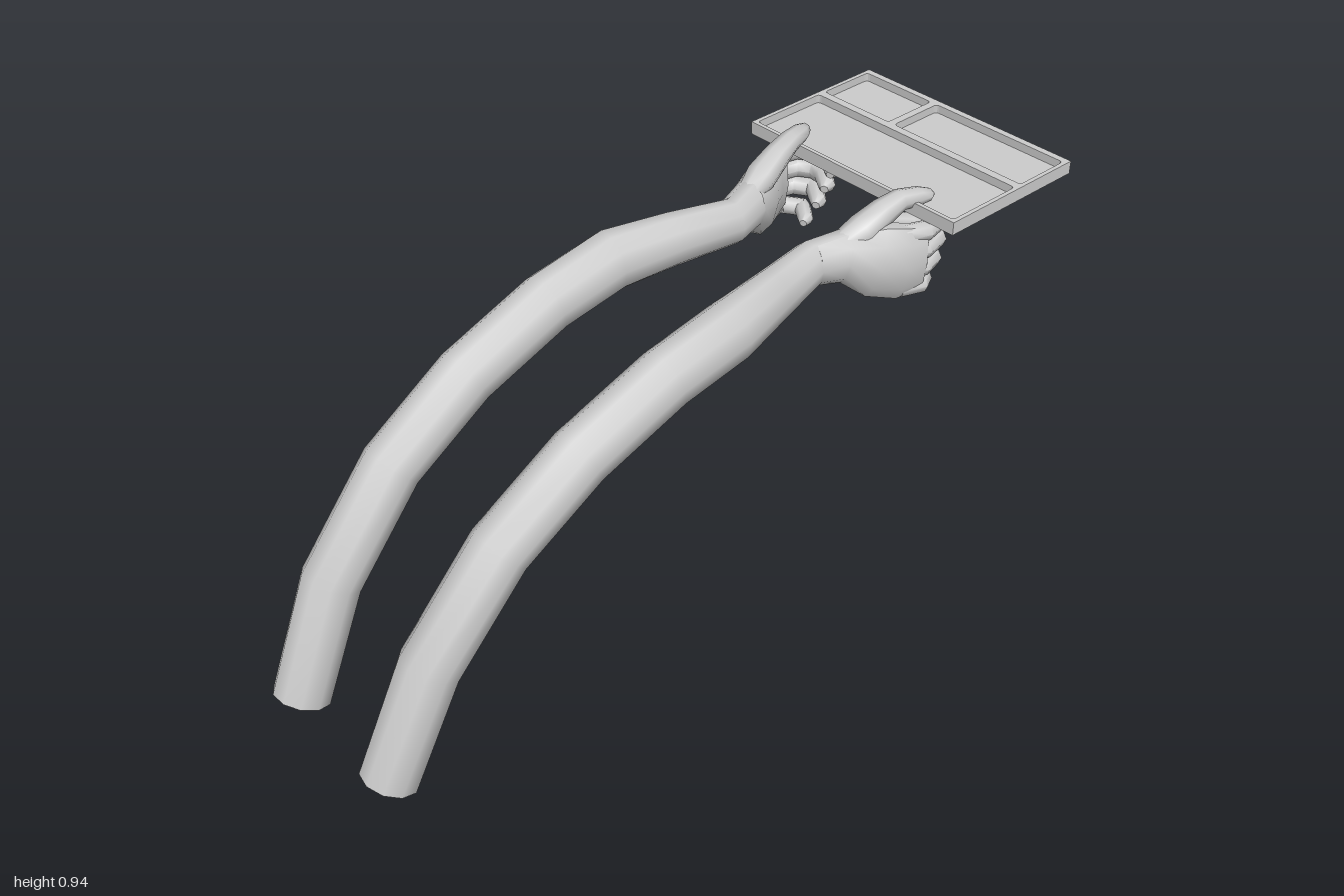
import * as THREE from 'three';
import { toCreasedNormals } from 'three/addons/utils/BufferGeometryUtils.js';

const material = new THREE.MeshStandardMaterial({ color: 0xcccccc, side: THREE.DoubleSide });

function addMesh(parent, geometry, name) {
  const mesh = new THREE.Mesh(geometry, material);
  mesh.name = name;
  parent.add(mesh);
  return mesh;
}

// Closed loft through elliptical rings: [x, y, z, half width, half height]
function loft(rings, sides) {
  const centres = rings.map(([x, y, z]) => new THREE.Vector3(x, y, z));
  const positions = [];
  const index = [];
  const last = rings.length - 1;
  rings.forEach(([, , , w, h], i) => {
    const before = centres[Math.max(i - 1, 0)];
    const after = centres[Math.min(i + 1, last)];
    const dir = after.clone().sub(before).normalize();
    const side = new THREE.Vector3(0, 1, 0).cross(dir).normalize();
    const up = dir.clone().cross(side);
    for (let j = 0; j < sides; j++) {
      const a = (j / sides) * Math.PI * 2;
      const p = centres[i].clone()
        .addScaledVector(side, Math.cos(a) * w)
        .addScaledVector(up, Math.sin(a) * h);
      positions.push(p.x, p.y, p.z);
    }
  });
  const start = rings.length * sides;
  positions.push(...centres[0].toArray(), ...centres[last].toArray());
  for (let j = 0; j < sides; j++) {
    const k = (j + 1) % sides;
    for (let i = 0; i < last; i++) {
      const a = i * sides;
      const b = a + sides;
      index.push(a + j, a + k, b + k, a + j, b + k, b + j);
    }
    index.push(start, k, j, start + 1, last * sides + j, last * sides + k);
  }
  const geometry = new THREE.BufferGeometry();
  geometry.setAttribute('position', new THREE.Float32BufferAttribute(positions, 3));
  geometry.setIndex(index);
  return toCreasedNormals(geometry, 0.9);
}

// Forearm to wrist: [y, z, half width, half height], x listed per arm
const armRings = [
  [0.03, 0.935, 0.068, 0.069],
  [0.31, 0.82, 0.069, 0.073],
  [0.535, 0.635, 0.069, 0.073],
  [0.675, 0.42, 0.068, 0.075],
  [0.765, 0.185, 0.067, 0.076],
  [0.802, 0, 0.067, 0.077],
  [0.806, -0.16, 0.055, 0.068],
  [0.807, -0.32, 0.047, 0.058],
  [0.81, -0.4, 0.045, 0.064],
];

function buildArm(side, armX, thumbLift) {
  const group = new THREE.Group();
  const mirrored = (rings) => rings.map(([x, ...rest]) => [x * side, ...rest]);

  addMesh(group, loft(mirrored(armRings.map((r, i) => [armX[i], ...r])), 10), 'forearm');

  // Upright palm, flaring out from the wrist
  addMesh(group, loft(mirrored([
    [0.132, 0.808, -0.33, 0.045, 0.056],
    [0.155, 0.808, -0.4, 0.047, 0.066],
    [0.19, 0.785, -0.47, 0.052, 0.095],
    [0.222, 0.77, -0.53, 0.044, 0.098],
    [0.235, 0.768, -0.58, 0.032, 0.09],
  ]), 10), 'palm');

  // Four stacked fingers curling inward beneath the tray
  const fingers = [
    [0.84, 0, 0.025],
    [0.793, 0, 0.026],
    [0.745, 0.01, 0.025],
    [0.697, 0.035, 0.023],
  ];
  fingers.forEach(([y, short, r], i) => {
    const inward = i * 0.016;
    addMesh(group, loft(mirrored([
      [0.222, y, -0.53, r, r],
      [0.242, y, -0.585, r, r],
      [0.23, y, -0.638 + short, r, r],
      [0.19, y, -0.664 + short, r, r],
      [0.135 + inward, y, -0.657 + short, r * 0.95, r * 0.95],
      [0.1 + inward, y - 0.002, -0.63 + short, r * 0.85, r * 0.85],
      [0.09 + inward, y - 0.004, -0.612 + short, r * 0.4, r * 0.4],
    ]), 8), 'finger' + (i + 1));
  });

  // Thumb resting on top of the tray
  addMesh(group, loft(mirrored([
    [0.15, 0.835, -0.39, 0.03, 0.03],
    [0.165, 0.862, -0.45, 0.04, 0.038],
    [0.172, 0.892 + thumbLift / 2, -0.51, 0.034, 0.033],
    [0.178, 0.91 + thumbLift, -0.56, 0.028, 0.026],
    [0.193, 0.908 + thumbLift, -0.61, 0.024, 0.022],
    [0.203, 0.906 + thumbLift, -0.635, 0.016, 0.015],
    [0.205, 0.905 + thumbLift, -0.643, 0.007, 0.007],
  ]), 8), 'thumb');
  return group;
}

function roundedRect(path, x0, y0, x1, y1, r) {
  path.moveTo(x0 + r, y0);
  path.lineTo(x1 - r, y0);
  path.quadraticCurveTo(x1, y0, x1, y0 + r);
  path.lineTo(x1, y1 - r);
  path.quadraticCurveTo(x1, y1, x1 - r, y1);
  path.lineTo(x0 + r, y1);
  path.quadraticCurveTo(x0, y1, x0, y1 - r);
  path.lineTo(x0, y0 + r);
  path.quadraticCurveTo(x0, y0, x0 + r, y0);
  return path;
}

function buildTray() {
  const tray = new THREE.Group();
  tray.name = 'tray';
  const floor = addMesh(tray, new THREE.BoxGeometry(0.654, 0.012, 0.424), 'trayFloor');
  floor.position.set(0, 0.874, -0.788);

  // Rim and dividers around three compartments; shape y becomes -z
  const rim = new THREE.Shape();
  rim.moveTo(-0.327, 0.576);
  rim.lineTo(0.327, 0.576);
  rim.lineTo(0.327, 1);
  rim.lineTo(-0.327, 1);
  rim.closePath();
  const pockets = [
    [-0.316, 0.587, 0.316, 0.803],
    [-0.316, 0.825, -0.1, 0.982],
    [-0.08, 0.825, 0.316, 0.982],
  ];
  pockets.forEach((p) => rim.holes.push(roundedRect(new THREE.Path(), ...p, 0.01)));
  const geometry = new THREE.ExtrudeGeometry(rim, { depth: 0.022, bevelEnabled: false, curveSegments: 3 });
  geometry.rotateX(-Math.PI / 2);
  addMesh(tray, geometry, 'trayRim').position.y = 0.879;
  return tray;
}

export function createModel() {
  const model = new THREE.Group();
  model.name = 'armsHoldingTray';

  const rightArm = buildArm(-1, [0.207, 0.207, 0.206, 0.205, 0.203, 0.197, 0.165, 0.127, 0.152], 0.004);
  rightArm.name = 'rightArm';
  const leftArm = buildArm(1, [0.133, 0.158, 0.176, 0.187, 0.194, 0.196, 0.163, 0.127, 0.152], -0.006);
  leftArm.name = 'leftArm';

  model.add(rightArm, leftArm, buildTray());
  return model;
}
